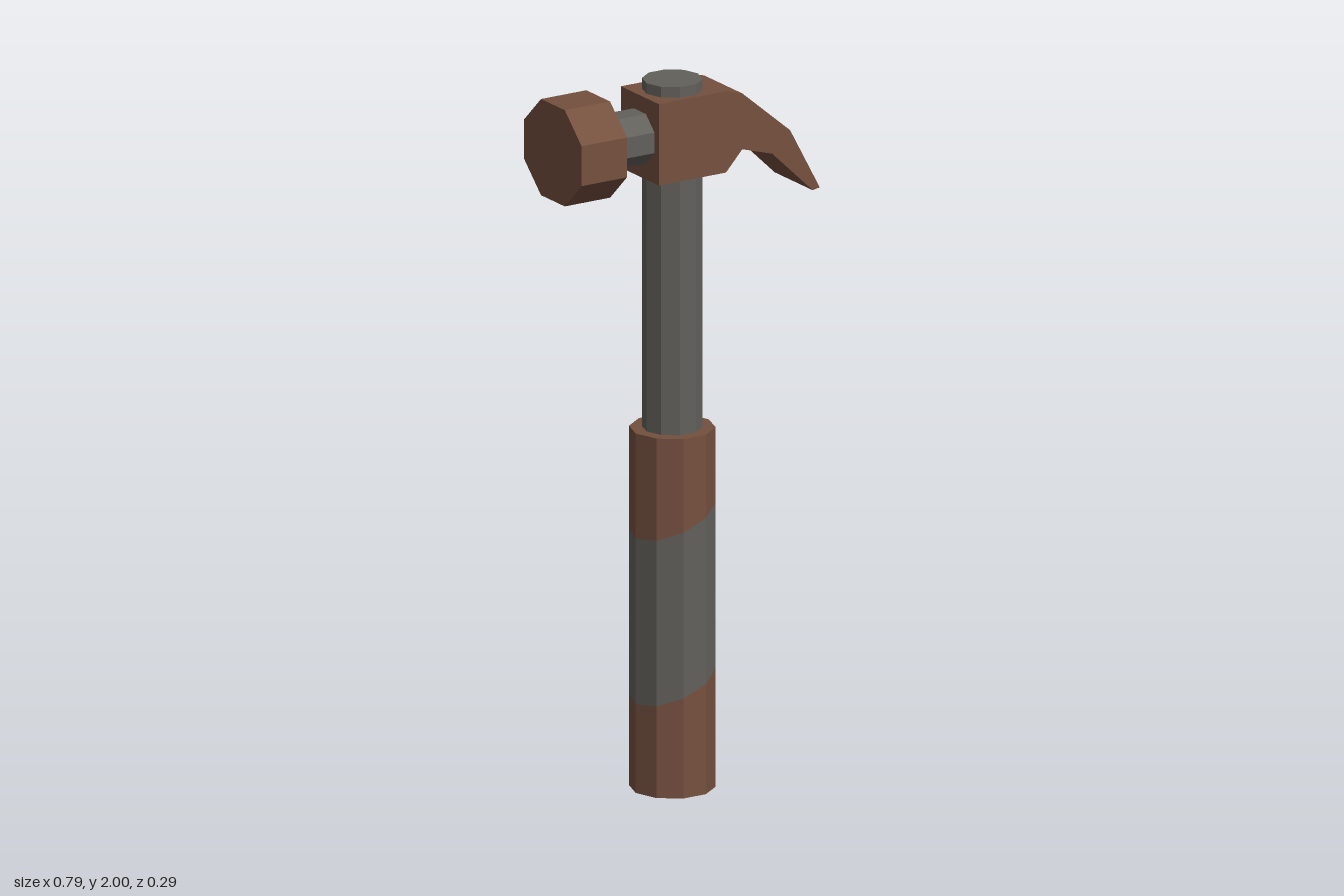
import * as THREE from 'three';

const AXIS_X = -0.016; // handle axis
const HEAD_Y = 1.855;  // striker axis height

export function createModel() {
  const brown = new THREE.MeshStandardMaterial({ color: 0x75503f, flatShading: true });
  brown.name = 'brown';
  const grey = new THREE.MeshStandardMaterial({ color: 0x62605b, flatShading: true });
  grey.name = 'dark grey';

  const model = new THREE.Group();
  model.name = 'hammer';

  const add = (name, geometry, material, parent = model) => {
    const mesh = new THREE.Mesh(geometry, material);
    mesh.name = name;
    parent.add(mesh);
    return mesh;
  };

  // Ten-sided upright section; each end may slope along x
  const section = (radius, y0, y1, slope0 = 0, slope1 = 0) => {
    const g = new THREE.CylinderGeometry(radius, radius, 1, 10, 1, false, Math.PI / 2);
    const p = g.attributes.position;
    for (let i = 0; i < p.count; i++) {
      const x = p.getX(i);
      p.setY(i, p.getY(i) > 0 ? y1 + slope1 * x : y0 + slope0 * x);
    }
    g.translate(AXIS_X, 0, 0);
    g.computeVertexNormals();
    return g;
  };

  // Eight-sided section along x, flat side up; sizes are centre-to-flat
  const octagon = (apothem0, apothem1, x0, x1) => {
    const k = 1 / Math.cos(Math.PI / 8);
    const g = new THREE.CylinderGeometry(apothem0 * k, apothem1 * k, x1 - x0, 8, 1, false, Math.PI / 8);
    g.rotateZ(Math.PI / 2);
    g.scale(1, 1, 1.055);
    g.translate((x0 + x1) / 2, HEAD_Y, 0);
    return g;
  };

  // Shaft, running through the head
  add('shaft', section(0.082, 1.0, 2.0), grey);

  // Grip with a slanted band
  const grip = new THREE.Group();
  grip.name = 'grip';
  model.add(grip);
  const slope = 0.4;
  add('gripBottom', section(0.117, 0, 0.297, 0, slope), brown, grip);
  add('gripBand', section(0.117, 0.297, 0.765, slope, slope), grey, grip);
  add('gripTop', section(0.117, 0.765, 1.016, slope, 0), brown, grip);

  // Head block and claw
  const outline = [
    [-0.12, 1.74], [0.095, 1.74], [0.147, 1.797], [0.243, 1.768], [0.372, 1.643], [0.395, 1.647],
    [0.3, 1.825], [0.147, 1.955], [0.095, 1.97], [-0.12, 1.97],
  ];
  const profile = new THREE.Shape(outline.map(([x, y]) => new THREE.Vector2(x, y)));
  const claw = new THREE.ExtrudeGeometry(profile, { depth: 0.19, bevelEnabled: false });
  claw.translate(0, 0, -0.095);
  add('headAndClaw', claw, brown);

  // Neck and striker
  add('neck', octagon(0.07, 0.07, -0.225, -0.11), grey);
  add('strikerTaper', octagon(0.136, 0.07, -0.253, -0.218), brown);
  add('striker', octagon(0.136, 0.136, -0.398, -0.253), brown);

  return model;
}
